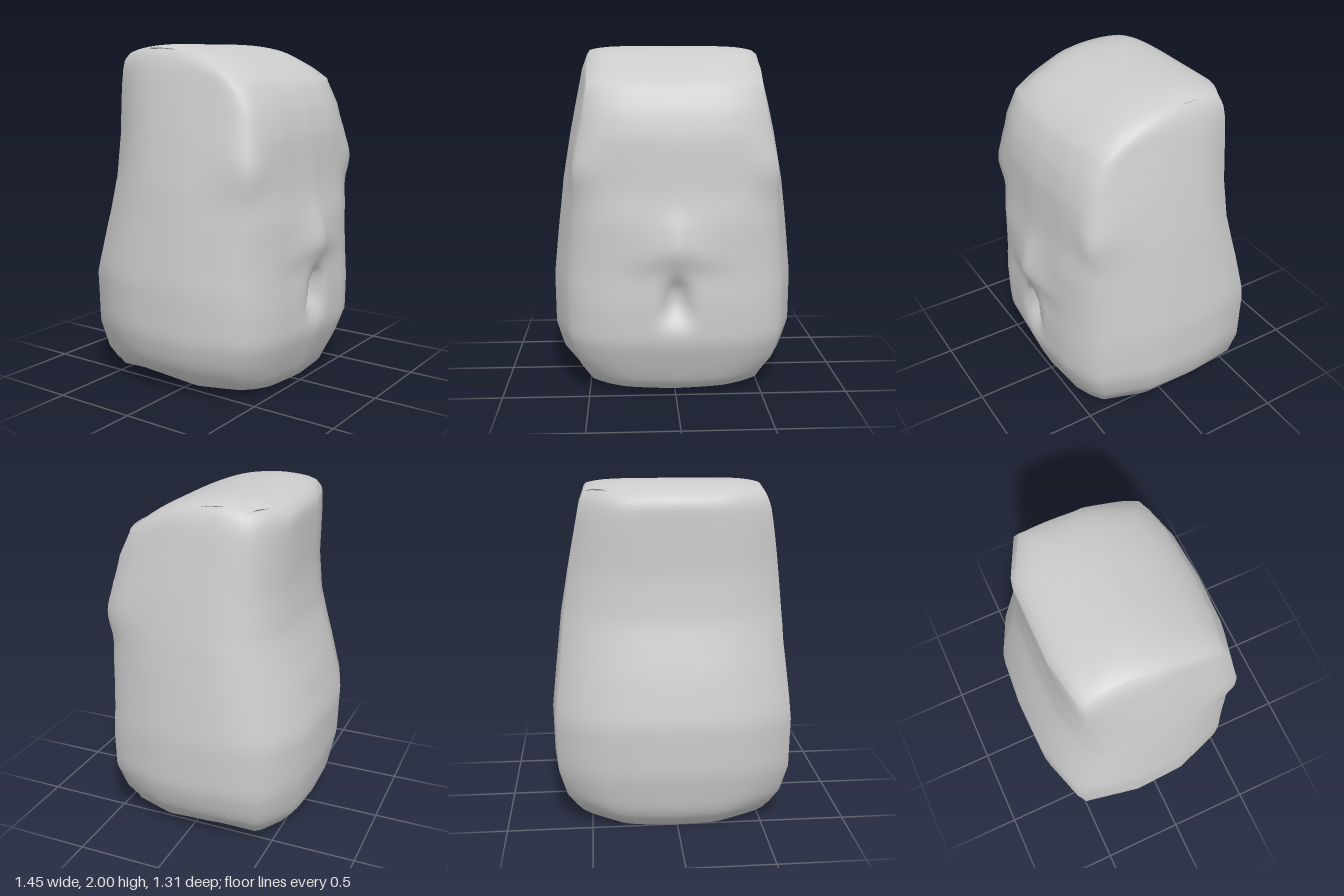
import * as THREE from 'three';

// Curve through [position, value] pairs, straight between points or smooth
function curve(pairs, Interpolant = THREE.LinearInterpolant) {
  const c = new Interpolant(pairs.map(p => p[0]), pairs.map(p => p[1]), 1);
  return t => c.evaluate(t)[0];
}
const smooth = (a, b, t) => THREE.MathUtils.smoothstep(t, a, b);

// Body profiles by height: half width, front depth, back depth
const halfWidth = curve([[0, 0.54], [0.1, 0.595], [0.2, 0.675], [0.36, 0.722], [0.66, 0.726], [0.9, 0.70],
  [1.22, 0.662], [1.5, 0.612], [1.87, 0.538], [1.96, 0.505], [2, 0.47]]);
const frontZ = curve([[0, 0.47], [0.06, 0.5], [0.2, 0.56], [0.34, 0.61], [0.55, 0.614], [0.74, 0.602],
  [1.03, 0.6], [1.2, 0.572], [1.5, 0.552], [1.65, 0.515], [1.79, 0.445], [2, 0.43]]);
const backZ = curve([[0, -0.5], [0.12, -0.6], [0.38, -0.652], [0.68, -0.66], [0.96, -0.592],
  [1.25, -0.502], [1.5, -0.472], [1.92, -0.473], [2, -0.4]]);

// Heights of the sloping crown and the gently uneven underside
const crown = curve([[-0.48, 1.925], [-0.42, 1.96], [-0.32, 1.997], [0.04, 1.987], [0.26, 1.91], [0.38, 1.835], [0.45, 1.785]],
  THREE.CubicInterpolant);
const sole = curve([[-0.52, 0.005], [-0.16, 0.045], [0.15, 0.004], [0.5, 0.045]]);
const topY = (x, z) => crown(z) - 0.025 * Math.abs(x / 0.5) ** 6 - 0.04 * smooth(0, 0.45, z) * Math.abs(x / 0.5) ** 4;
const bottomY = (x, z) => sole(z) + 0.07 * Math.abs(x / 0.55) ** 3;

// Outlines from above, scaled to unit half width and depth
const bodyOutline = [[0, 1], [0.5, 0.95], [0.7, 0.87], [0.83, 0.79], [0.98, 0.3], [1, -0.2], [0.95, -0.73], [0.54, -0.955],
  [0.07, -1], [-0.41, -0.985], [-0.9, -0.81], [-1, -0.23], [-0.98, 0.28], [-0.83, 0.765], [-0.69, 0.87], [-0.52, 0.94]];
const crownOutline = [[0, 1], [0.5, 0.97], [0.9, 0.86], [1, 0.1], [1, -0.74], [0.54, -1],
  [-0.4, -1], [-0.98, -0.87], [-1, 0], [-0.89, 0.88], [-0.5, 0.98]];

// Distance from the centre to a convex outline in direction (dx, dz)
function reach(outline, dx, dz) {
  let best = Infinity;
  outline.forEach(([px, pz], i) => {
    const [qx, qz] = outline[(i + 1) % outline.length];
    const t = (px * qz - pz * qx) / (dx * (qz - pz) - dz * (qx - px));
    if (t > 0) best = Math.min(best, t);
  });
  return best;
}

// Cross-section at height y, squarer towards the crown
function section(phi, y) {
  const s = Math.sin(phi), c = Math.cos(phi);
  const r = THREE.MathUtils.lerp(reach(bodyOutline, s, c), reach(crownOutline, s, c), smooth(0.9, 1.9, y));
  const f = frontZ(y), b = backZ(y), mid = (f + b) / 2;
  return [halfWidth(y) * r * s, mid + (f - b) / 2 * r * c, mid];
}

// Brow, mouth hollow and cheek bumps
function sculpt(p) {
  const { x, y, z } = p, ax = Math.abs(x);
  if (z < 0.2) return;
  const k = Math.max(0, 1 - ax / 0.36), peak = 0.79 + 0.09 * k;
  const fall = y > peak ? (y - peak) / 0.22 : (peak - y) / (peak - 0.74);
  p.z += 0.055 * k ** 1.4 * Math.max(0, 1 - fall);
  const w = 0.13 - 0.05 * smooth(0.42, 0.68, y) - 0.05 * smooth(0.64, 0.735, y);
  const across = Math.max(0, 1 - (ax / w) ** 2);
  p.z -= 0.1 * across * smooth(0.41, 0.56, y) * (1 - smooth(0.65, 0.735, y));
  const bump = Math.exp(-(((ax - 0.54) / 0.1) ** 2) - ((y - 1.33) / 0.14) ** 2 - ((z - 0.44) / 0.14) ** 2);
  p.x += Math.sign(x) * 0.02 * bump;
  p.z += 0.04 * bump;
}

// Blend shading between neighbouring points so the facets read as one soft form
function softenShading(normal, rings, cols) {
  const v = new THREE.Vector3(), side = new THREE.Vector3();
  for (let pass = 0; pass < 20; pass++) {
    const old = normal.clone();
    for (let i = 1; i < rings - 1; i++) {
      for (let j = 0; j < cols; j++) {
        const row = i * cols, a = row + j;
        v.fromBufferAttribute(old, a);
        for (const b of [a - cols, a + cols, row + (j + 1) % cols, row + (j + cols - 1) % cols]) {
          v.add(side.fromBufferAttribute(old, b));
        }
        v.normalize();
        normal.setXYZ(a, v.x, v.y, v.z);
      }
    }
  }
}

export function createModel() {
  const cols = 150, rows = 124;
  const caps = [0, 0.2, 0.4, 0.55, 0.67, 0.77, 0.85, 0.91, 0.96];
  // Each ring: height fraction t and inward scale s
  const rings = caps.map(s => [0, s]);
  for (let i = 0; i <= rows; i++) rings.push([i / rows, 1]);
  [...caps].reverse().forEach(s => rings.push([1, s]));

  const positions = [], index = [], p = new THREE.Vector3();
  rings.forEach(([t, s], i) => {
    for (let j = 0; j < cols; j++) {
      const u = 2 * j / cols - 1;
      const phi = Math.PI * (0.35 * u + 0.65 * u ** 3); // columns are closest at the face
      const [bx, bz, bm] = section(phi, 0.02);
      const [tx, tz, tm] = section(phi, 1.93);
      if (s < 1) {
        const [x, z, m, height] = t ? [tx, tz, tm, topY] : [bx, bz, bm, bottomY];
        const zz = m + (z - m) * s;
        p.set(x * s, height(x * s, zz), zz);
      } else {
        const y = THREE.MathUtils.lerp(bottomY(bx, bz), topY(tx, tz), t);
        const [x, z] = section(phi, y);
        p.set(x, y, z);
        sculpt(p);
      }
      positions.push(p.x, p.y, p.z);
      if (i === rings.length - 1) continue;
      const a = i * cols + j, b = i * cols + (j + 1) % cols;
      index.push(a, b, b + cols, a, b + cols, a + cols);
    }
  });

  const geometry = new THREE.BufferGeometry();
  geometry.setAttribute('position', new THREE.Float32BufferAttribute(positions, 3));
  geometry.setIndex(index);
  geometry.computeVertexNormals();
  softenShading(geometry.attributes.normal, rings.length, cols);

  const body = new THREE.Mesh(geometry, new THREE.MeshStandardMaterial({ color: 0xcccccc }));
  body.name = 'carvedBody';
  const model = new THREE.Group();
  model.name = 'carvedHead';
  model.add(body);
  return model;
}
